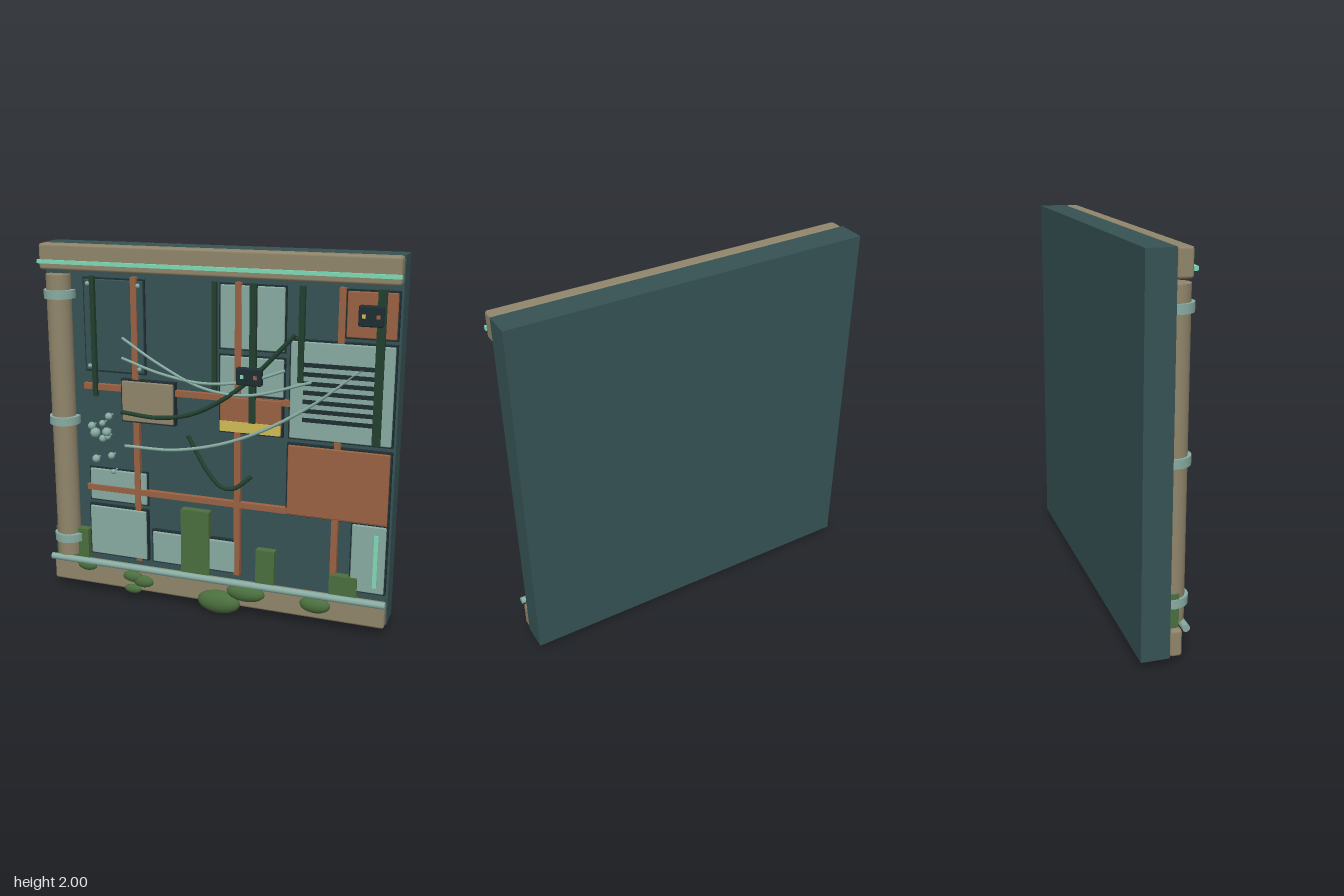
import * as THREE from 'three';
import { RoundedBoxGeometry } from 'three/addons/geometries/RoundedBoxGeometry.js';

const paint = (name, color) => {
  const m = new THREE.MeshStandardMaterial({ color });
  m.name = name;
  return m;
};

export function createModel() {
  const M = {
    slab: paint('dark teal', 0x375355),
    trim: paint('near black', 0x1e2f34),
    teal: paint('pale teal', 0x88aca2),
    copper: paint('copper', 0x9a6242),
    beige: paint('beige', 0x91866c),
    moss: paint('moss green', 0x4b6f3e),
    vine: paint('vine green', 0x22402f),
    mint: paint('mint', 0x7fdcb8),
    yellow: paint('yellow', 0xd0bd55),
  };
  const root = new THREE.Group();
  root.name = 'wallPanel';

  const add = (name, geo, mat, x = 0, y = 0, z = 0) => {
    const mesh = new THREE.Mesh(geo, mat);
    mesh.name = name;
    mesh.position.set(x, y, z);
    root.add(mesh);
    return mesh;
  };
  // Box given by its extents on each axis
  const box = (name, mat, x0, x1, y0, y1, z0, z1, bevel = 0) => add(name,
    bevel ? new RoundedBoxGeometry(x1 - x0, y1 - y0, z1 - z0, 1, bevel)
      : new THREE.BoxGeometry(x1 - x0, y1 - y0, z1 - z0),
    mat, (x0 + x1) / 2, (y0 + y1) / 2, (z0 + z1) / 2);
  // Plate on a slightly larger dark backing
  const plate = (name, mat, x0, x1, y0, y1, z1) => {
    box(name + 'Backing', M.trim, x0 - 0.008, x1 + 0.008, y0 - 0.008, y1 + 0.008, 0, z1 - 0.012);
    box(name, mat, x0, x1, y0, y1, 0, z1, 0.006);
  };
  const cable = (name, mat, r, pts) => add(name, new THREE.TubeGeometry(
    new THREE.CatmullRomCurve3(pts.map(p => new THREE.Vector3(...p))), 32, r, 8), mat);
  const rod = (name, mat, r, y, z) => {
    add(name, new THREE.CylinderGeometry(r, r, 1.95, 12), mat, 0, y, z).rotation.z = Math.PI / 2;
  };

  // Wall and edge beams
  box('wallSlab', M.slab, -0.975, 0.975, 0.05, 2, -0.14, 0.005);
  box('topBeam', M.beige, -0.972, 0.972, 1.86, 2, 0.008, 0.085, 0.014);
  box('bottomBeam', M.beige, -0.972, 0.972, 0.05, 0.19, 0.008, 0.07, 0.014);
  box('lightStrip', M.mint, -0.975, 0.975, 1.895, 1.915, 0.08, 0.1);
  rod('bottomPipe', M.teal, 0.019, 0.197, 0.086);

  // Standing column with clamps
  add('column', new THREE.CylinderGeometry(0.068, 0.068, 1.615, 20), M.beige, -0.885, 1.027, 0.033);
  for (const y of [1.73, 1.025, 0.325]) {
    add('columnClamp', new THREE.CylinderGeometry(0.087, 0.087, 0.046, 20), M.teal, -0.88, y, 0.033);
  }

  // Copper grid
  for (const x of [-0.445, 0.14, 0.68]) {
    box('copperUpright', M.copper, x - 0.017, x + 0.017, 0.22, 1.835, 0, 0.034);
  }
  for (const y of [1.225, 0.635]) {
    box('copperRail', M.copper, -0.755, 0.955, y - 0.016, y + 0.016, 0, 0.036);
  }

  // Panels below the grid
  plate('smallTealPanel', M.teal, -0.74, -0.395, 0.56, 0.745, 0.026);
  plate('upperTealPanel', M.teal, 0.04, 0.385, 1.49, 1.82, 0.028);
  plate('middleTealPanel', M.teal, 0.04, 0.385, 1.25, 1.45, 0.028);
  plate('darkPanel', M.slab, -0.74, -0.395, 1.315, 1.815, 0.028);
  for (const x of [-0.715, -0.42]) {
    for (const y of [1.34, 1.79]) {
      add('panelBolt', new THREE.SphereGeometry(0.013, 10, 8), M.teal, x, y, 0.028);
    }
  }

  // Panels above the grid
  plate('lowerLeftPanel', M.teal, -0.74, -0.395, 0.235, 0.525, 0.042);
  plate('lowerMiddlePanel', M.teal, -0.355, 0.13, 0.235, 0.415, 0.042);
  plate('ventPanel', M.teal, 0.425, 0.955, 1.045, 1.555, 0.042);
  plate('largeCopperPanel', M.copper, 0.42, 0.955, 0.622, 1.005, 0.042);
  plate('cornerCopperPanel', M.copper, 0.705, 0.955, 1.59, 1.82, 0.038);
  plate('lowerRightPanel', M.teal, 0.775, 0.955, 0.235, 0.61, 0.042);
  plate('copperCabinet', M.copper, 0.045, 0.38, 1.045, 1.235, 0.042);
  box('yellowBand', M.yellow, 0.045, 0.38, 1.048, 1.105, 0.041, 0.047);
  box('panelLight', M.mint, 0.895, 0.917, 0.27, 0.565, 0.041, 0.048);
  plate('beigeCabinet', M.beige, -0.52, -0.22, 1.05, 1.275, 0.05);
  for (let i = 0; i < 7; i++) {
    const y = 1.15 + i * 0.048;
    box('ventSlat', M.trim, 0.495, 0.872, y - 0.011, y + 0.011, 0.04, 0.047);
  }

  // Moss blocks along the foot
  for (const [x0, x1, y1] of [[-0.96, -0.755, 0.375], [-0.18, -0.015, 0.575],
    [0.255, 0.36, 0.395], [0.665, 0.815, 0.31]]) {
    box('mossBlock', M.moss, x0, x1, 0.2, y1, 0, 0.052);
  }

  // Hanging straps
  for (const [x, w, y0] of [[-0.68, 0.025, 1.175], [0.015, 0.026, 1.265], [0.225, 0.035, 1.105],
    [0.48, 0.03, 1.345], [0.88, 0.044, 1.05]]) {
    box('hangingStrap', M.vine, x - w / 2, x + w / 2, y0, 1.835, 0.03, 0.053);
  }

  // Control boxes with indicator lamps
  for (const [x, y, w, h, lamp] of [[0.21, 1.355, 0.14, 0.092, M.mint], [0.83, 1.705, 0.126, 0.104, M.yellow]]) {
    box('controlBox', M.trim, x - w / 2, x + w / 2, y - h / 2, y + h / 2, 0.03, 0.07, 0.008);
    [[-0.035, lamp], [0.037, M.copper]].forEach(([dx, mat]) =>
      box('indicatorLamp', mat, x + dx - 0.009, x + dx + 0.009, y - 0.01, y + 0.01, 0.068, 0.074));
  }

  // Slack cables
  cable('paleCable', M.teal, 0.008, [[-0.51, 1.51, 0.045], [-0.3, 1.385, 0.05], [-0.05, 1.275, 0.055],
    [0.2, 1.255, 0.055], [0.54, 1.35, 0.045]]);
  cable('paleCable', M.teal, 0.008, [[-0.515, 1.4, 0.045], [-0.3, 1.335, 0.05], [-0.05, 1.3, 0.055],
    [0.2, 1.33, 0.055], [0.4, 1.4, 0.045]]);
  cable('paleCable', M.teal, 0.009, [[-0.51, 0.905, 0.045], [-0.2, 0.915, 0.05], [0.15, 1.01, 0.055],
    [0.5, 1.2, 0.045], [0.8, 1.44, 0.038]]);
  cable('darkCable', M.vine, 0.012, [[-0.525, 1.1, 0.052], [-0.3, 1.088, 0.055], [-0.1, 1.13, 0.055],
    [0.1, 1.245, 0.055], [0.25, 1.375, 0.055], [0.45, 1.59, 0.045]]);
  cable('darkCable', M.vine, 0.012, [[-0.14, 1.0, 0.035], [-0.02, 0.81, 0.05], [0.06, 0.735, 0.055],
    [0.13, 0.735, 0.055], [0.225, 0.81, 0.035]]);

  // Cluster of pale spores
  for (const [x, y, r] of [[-0.705, 1.005, 0.022], [-0.64, 1.025, 0.018], [-0.6, 1.068, 0.021],
    [-0.685, 0.967, 0.029], [-0.615, 0.977, 0.026], [-0.64, 0.937, 0.021], [-0.61, 0.95, 0.018],
    [-0.685, 0.815, 0.023], [-0.59, 0.842, 0.02], [-0.58, 0.75, 0.014]]) {
    add('spore', new THREE.SphereGeometry(r, 12, 8), M.teal, x, y, 0.055);
    add('sporeStem', new THREE.CylinderGeometry(0.006, 0.006, 0.06, 6), M.teal, x, y, 0.03).rotation.x = Math.PI / 2;
  }

  // Bushes on the bottom beam
  for (const [x, y, rx, ry, rz] of [[0.055, 0.07, 0.125, 0.066, 0.05], [0.21, 0.147, 0.11, 0.05, 0.04],
    [0.6, 0.14, 0.085, 0.046, 0.035], [-0.75, 0.172, 0.06, 0.033, 0.025], [-0.465, 0.142, 0.06, 0.033, 0.025],
    [-0.4, 0.12, 0.062, 0.035, 0.025], [-0.465, 0.065, 0.052, 0.026, 0.022]]) {
    add('bush', new THREE.SphereGeometry(1, 16, 10), M.moss, x, y, 0.082).scale.set(rx, ry, rz);
  }
  return root;
}
